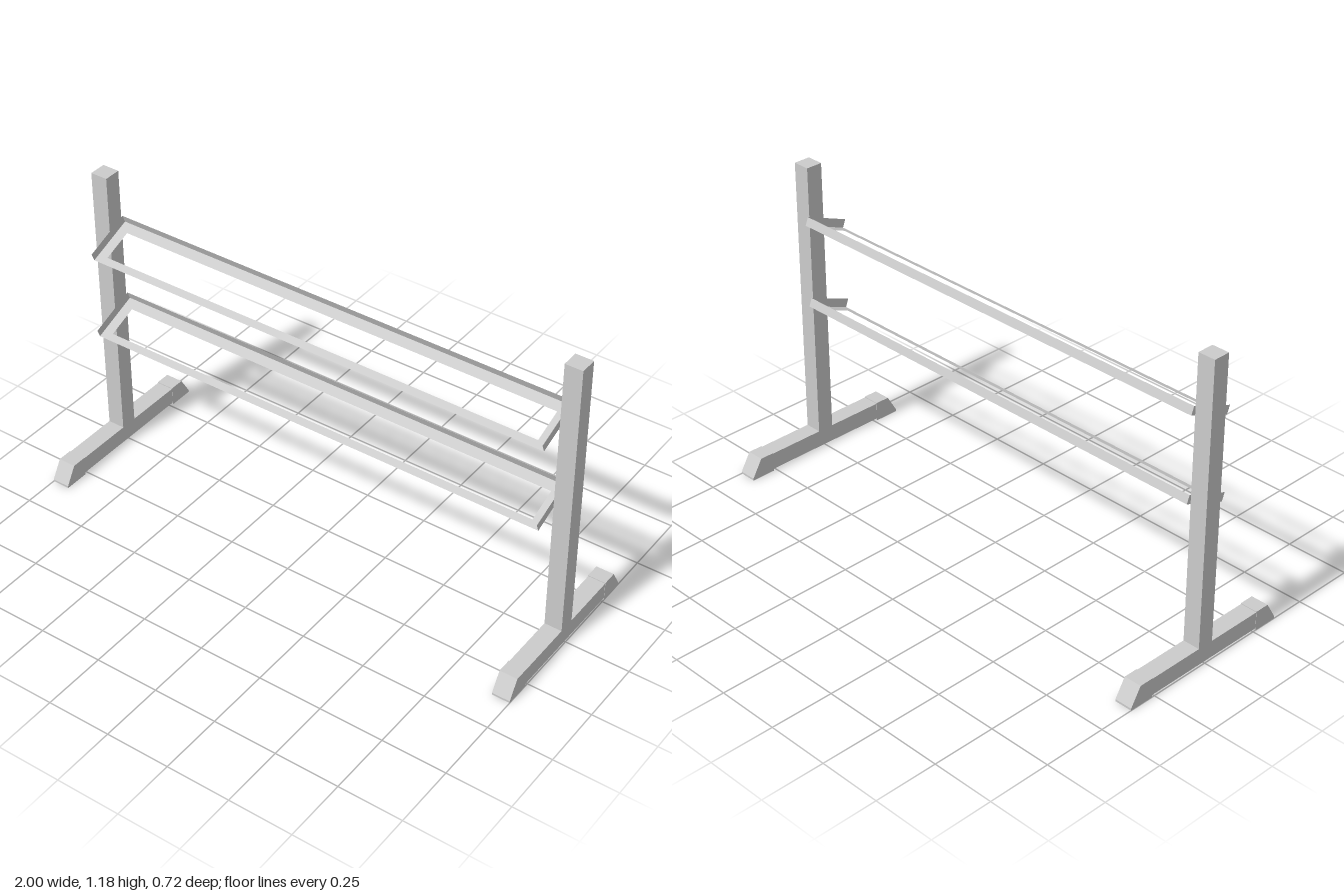
import * as THREE from 'three';

export function createModel() {
  const model = new THREE.Group();
  const solid = new THREE.MeshStandardMaterial({ color: 0xcccccc });
  const sheet = new THREE.MeshStandardMaterial({ color: 0xcccccc, side: THREE.DoubleSide });

  const add = (parent, name, geometry, material, x = 0, y = 0, z = 0) => {
    const mesh = new THREE.Mesh(geometry, material);
    mesh.name = name;
    mesh.position.set(x, y, z);
    parent.add(mesh);
    return mesh;
  };

  // Upright stands, each with a floor bar and two sloped end caps
  const width = 0.068;
  const capShape = new THREE.Shape([
    [0.262, 0], [0.362, 0], [0.362, 0.008], [0.32, 0.078], [0.262, 0.078],
  ].map(([x, y]) => new THREE.Vector2(x, y)));
  const capGeometry = new THREE.ExtrudeGeometry(capShape, { depth: width + 0.002, bevelEnabled: false });
  capGeometry.translate(0, 0, -(width + 0.002) / 2);

  for (const side of [-1, 1]) {
    const stand = new THREE.Group();
    stand.name = side > 0 ? 'leftStand' : 'rightStand';
    stand.position.x = side * 0.965;
    add(stand, 'post', new THREE.BoxGeometry(width, 1.107, 0.066), solid, 0, 0.6285, 0);
    add(stand, 'floorBar', new THREE.BoxGeometry(width, 0.067, 0.53), solid, 0, 0.0415, 0);
    for (const end of [-1, 1]) {
      add(stand, end > 0 ? 'frontCap' : 'backCap', capGeometry, solid).rotation.y = -end * Math.PI / 2;
    }
    model.add(stand);
  }

  // Tilted open-front rails: a sheet floor with a slot, a back wall and two side walls
  const half = 0.931, depth = 0.19, wall = 0.033;
  const rectangle = (Type, x, y0, y1) => new Type([
    new THREE.Vector2(-x, y0), new THREE.Vector2(x, y0),
    new THREE.Vector2(x, y1), new THREE.Vector2(-x, y1),
  ]);
  const floorShape = rectangle(THREE.Shape, half, 0, depth);
  floorShape.holes.push(rectangle(THREE.Path, 0.892, 0.029, 0.15));
  const floorGeometry = new THREE.ShapeGeometry(floorShape).rotateX(-Math.PI / 2);

  [['lowerRail', 0.557], ['upperRail', 0.89]].forEach(([name, y]) => {
    const rail = new THREE.Group();
    rail.name = name;
    rail.position.set(0, y, 0.125);
    rail.rotation.x = 0.375;
    add(rail, 'railFloor', floorGeometry, sheet);
    add(rail, 'railBackWall', new THREE.PlaneGeometry(half * 2, wall), sheet, 0, wall / 2, -depth)
      .rotation.y = Math.PI;
    for (const side of [-1, 1]) {
      add(rail, 'railSideWall', new THREE.PlaneGeometry(depth, wall), sheet, side * half, wall / 2, -depth / 2)
        .rotation.y = side * Math.PI / 2;
    }
    model.add(rail);
  });

  return model;
}
